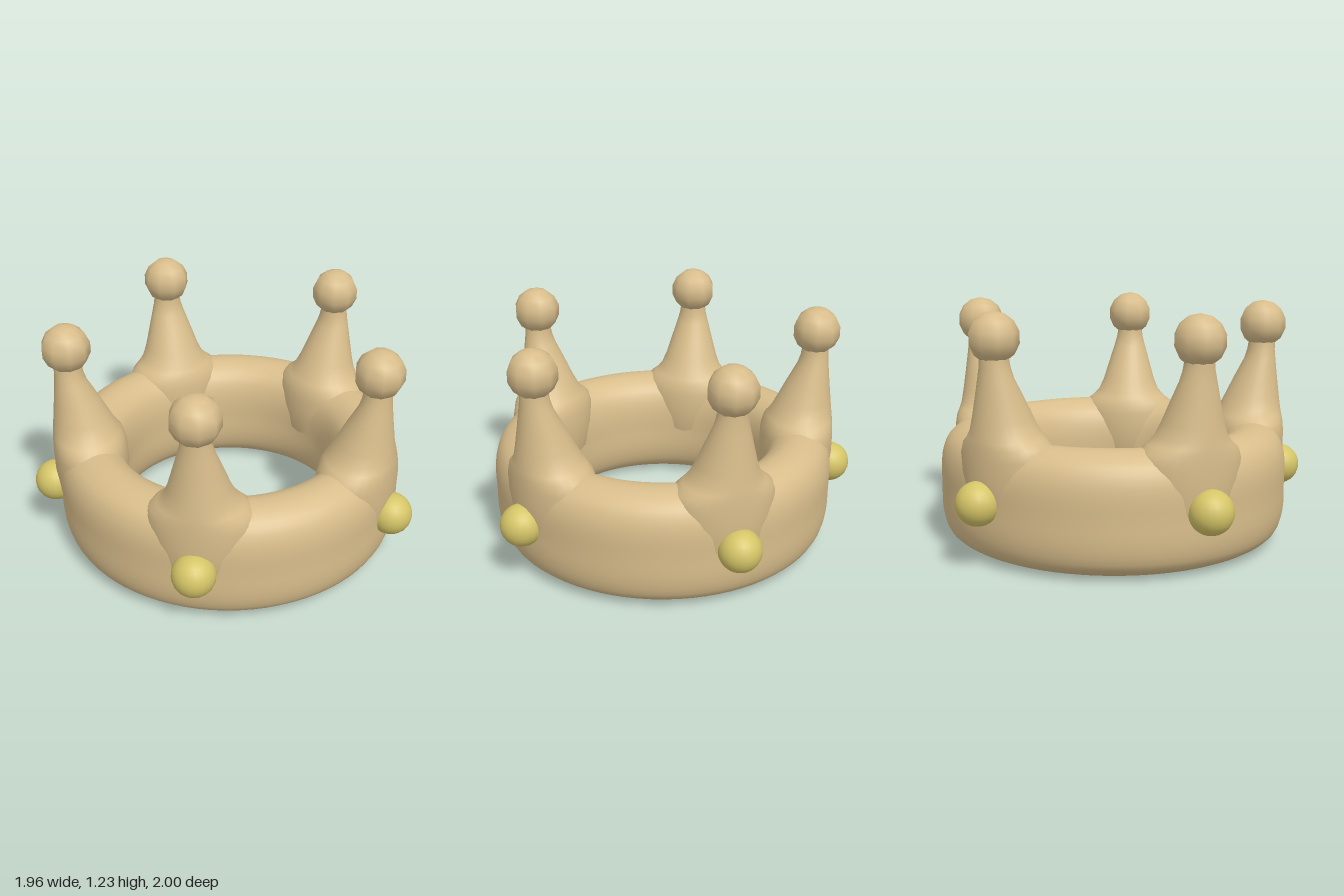
import * as THREE from 'three';
import { mergeVertices } from 'three/addons/utils/BufferGeometryUtils.js';

const POINTS = 5;
const CENTRE_X = -0.07;

// Soft rounded band section, revolved around the crown axis
function bandGeometry() {
  const section = [
    [0.56, 0.30], [0.565, 0.17], [0.60, 0.07], [0.67, 0.015], [0.735, 0.003], [0.80, 0.015],
    [0.875, 0.065], [0.907, 0.16], [0.91, 0.30], [0.907, 0.45], [0.87, 0.545], [0.80, 0.595],
    [0.735, 0.608], [0.67, 0.595], [0.60, 0.54], [0.565, 0.44],
  ].map(([r, y]) => new THREE.Vector3(r, y, 0));
  const curve = new THREE.CatmullRomCurve3(section, true);
  const profile = curve.getPoints(48).map((p) => new THREE.Vector2(p.x, p.y));
  return new THREE.LatheGeometry(profile, 80);
}

// Tapering spike: oval sections [height, inner radius, outer radius, half width], top first
function spikeGeometry() {
  const levels = [
    [1.10, 0.75, 0.89, 0.07], [1.02, 0.75, 0.89, 0.07], [0.97, 0.743, 0.89, 0.078],
    [0.92, 0.728, 0.894, 0.092], [0.82, 0.675, 0.905, 0.122], [0.72, 0.625, 0.917, 0.152],
    [0.66, 0.595, 0.924, 0.178], [0.625, 0.575, 0.928, 0.21], [0.595, 0.558, 0.93, 0.25],
    [0.54, 0.545, 0.932, 0.275], [0.45, 0.542, 0.932, 0.27], [0.32, 0.552, 0.925, 0.24],
    [0.20, 0.60, 0.89, 0.18],
  ];
  const sides = 28;
  const geo = new THREE.CylinderGeometry(1, 1, 1, sides, levels.length - 1, true);
  const pos = geo.attributes.position;
  for (let i = 0; i < pos.count; i++) {
    const [y, inner, outer, half] = levels[Math.floor(i / (sides + 1))];
    pos.setXYZ(i, (inner + outer) / 2 + (pos.getX(i) * (outer - inner)) / 2, y, pos.getZ(i) * half);
  }
  geo.deleteAttribute('uv');
  geo.deleteAttribute('normal');
  const welded = mergeVertices(geo, 1e-4);
  welded.computeVertexNormals();
  return welded;
}

export function createModel() {
  const tan = new THREE.MeshStandardMaterial({ color: 0xd8bd8b });
  tan.name = 'tan';
  const yellow = new THREE.MeshStandardMaterial({ color: 0xd5c568 });
  yellow.name = 'yellow';

  const crown = new THREE.Group();
  crown.name = 'crown';
  crown.position.x = CENTRE_X;

  const add = (parent, name, geometry, material, x = 0, y = 0) => {
    const mesh = new THREE.Mesh(geometry, material);
    mesh.name = name;
    mesh.position.set(x, y, 0);
    parent.add(mesh);
  };

  add(crown, 'band', bandGeometry(), tan);

  // Five points, each with a spike, a ball tip and a gem on the band
  const spike = spikeGeometry();
  const ball = new THREE.SphereGeometry(0.126, 9, 7);
  const gem = new THREE.SphereGeometry(0.109, 20, 14);
  for (let i = 0; i < POINTS; i++) {
    const point = new THREE.Group();
    point.name = 'crownPoint' + (i + 1);
    point.rotation.y = (i / POINTS) * Math.PI * 2;
    add(point, 'spike', spike, tan);
    add(point, 'ballTip', ball, tan, 0.82, 1.11);
    add(point, 'gem', gem, yellow, 0.937, 0.33);
    crown.add(point);
  }

  const model = new THREE.Group();
  model.name = 'crownModel';
  model.add(crown);
  return model;
}
